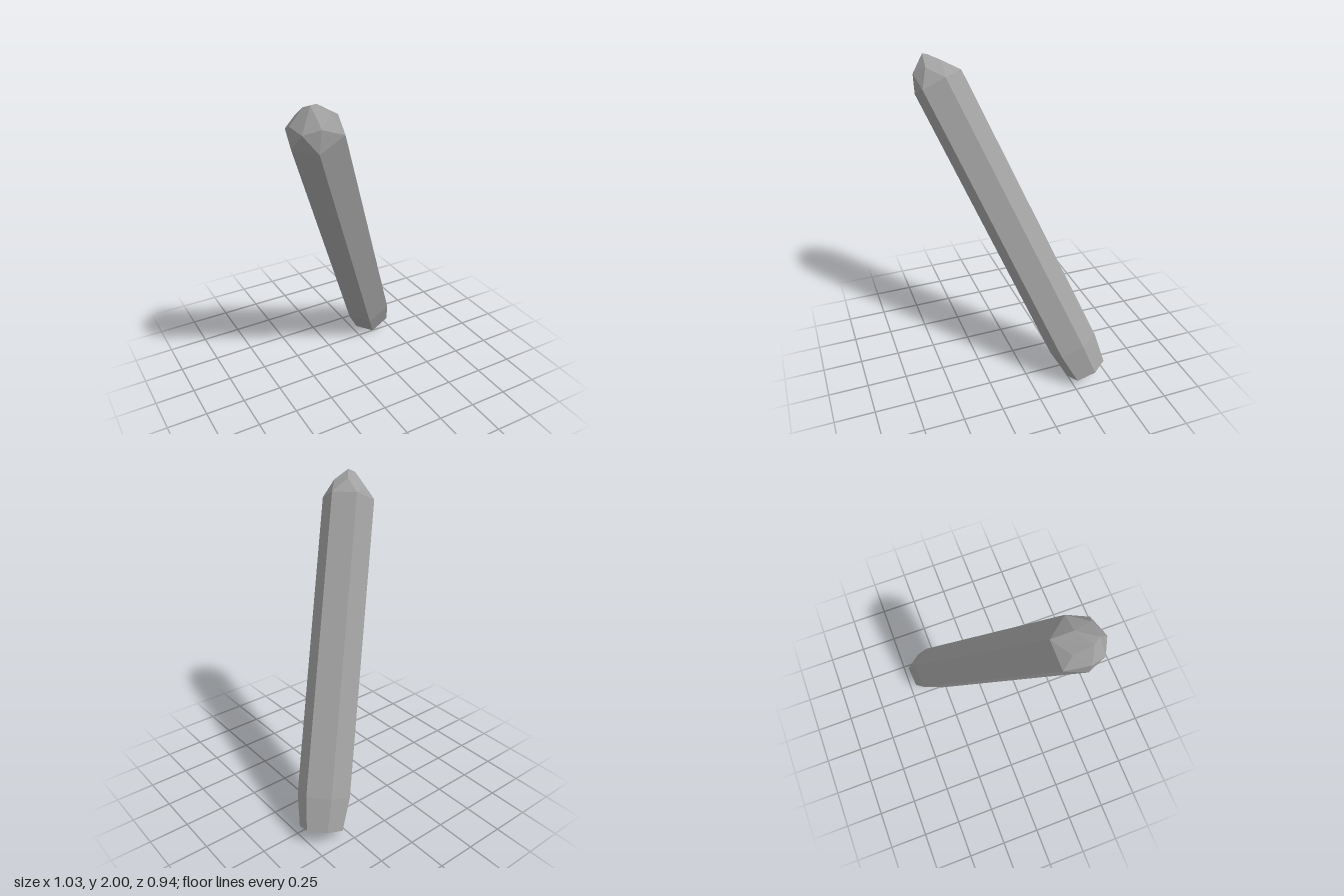
import * as THREE from 'three';
import { ConvexGeometry } from 'three/addons/geometries/ConvexGeometry.js';

export function createModel() {
  const stone = new THREE.MeshStandardMaterial({ color: 0xa0a0a0 });
  stone.name = 'grey stone';

  // Half of the hexagonal section; the other corners are opposite
  const half = [[0.14, 0.067, -0.012], [0.043, 0.073, -0.134], [-0.11, 0, -0.12]];
  const ring = (x, y, z, s) => half.flatMap(([a, b, c]) => [1, -1].map(
    (k) => new THREE.Vector3(x + k * s * a, y + k * s * b, z + k * s * c)));

  // Irregular faceted tip
  const tip = [
    [-0.425, 2.0, 0.405], [-0.45, 1.985, 0.37], [-0.345, 1.972, 0.312],
    [-0.32, 1.947, 0.415], [-0.445, 1.92, 0.27], [-0.515, 1.89, 0.345],
    [-0.4, 1.892, 0.475], [-0.488, 1.865, 0.432],
  ].map((p) => new THREE.Vector3(...p));

  // Leaning shaft with a narrowed foot
  const points = [
    ...ring(0.4, 0.06, -0.36, 0.82),
    ...ring(0.325, 0.235, -0.29, 1),
    ...ring(-0.369, 1.837, 0.334, 1),
    ...tip,
  ];
  const crystal = new THREE.Mesh(new ConvexGeometry(points), stone);
  crystal.name = 'crystalShaft';

  const group = new THREE.Group();
  group.name = 'leaningCrystal';
  group.add(crystal);
  return group;
}
